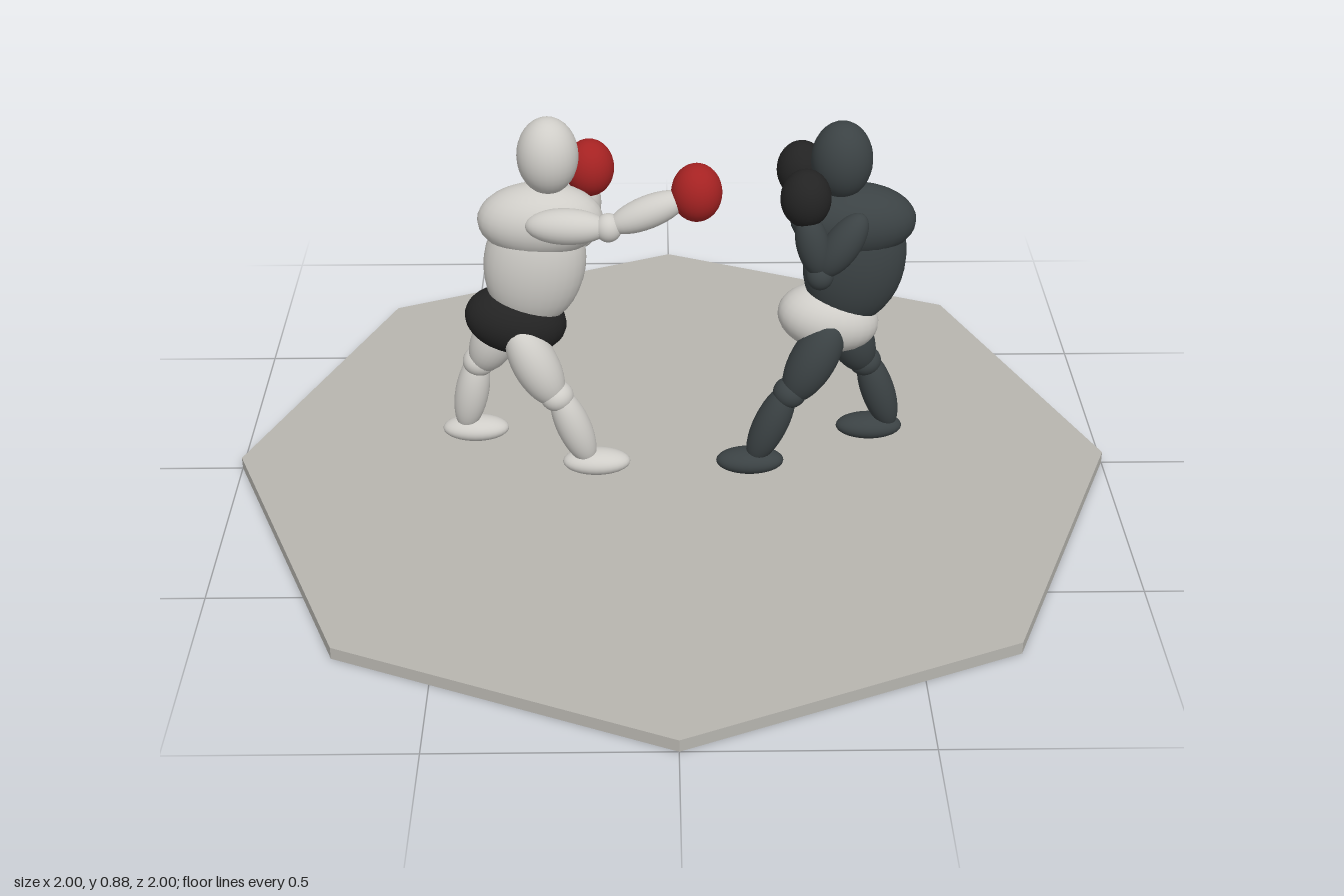
import * as THREE from 'three';

const paint = (name, color) => {
  const m = new THREE.MeshStandardMaterial({ color });
  m.name = name;
  return m;
};
const mats = {
  floor: paint('floor grey', 0xb7b5af),
  pale: paint('pale', 0xcfcdc8),
  dark: paint('dark slate', 0x3b4244),
  black: paint('black', 0x232323),
  red: paint('red', 0xa52222),
};
const ball = new THREE.SphereGeometry(1, 28, 18);

// Ellipsoid with radii r at centre c, leaning by tilt in the x-y plane
function blob(group, name, mat, c, r, tilt = 0) {
  const m = new THREE.Mesh(ball, mat);
  m.name = name;
  m.position.set(...c);
  m.scale.set(...r);
  m.rotation.z = tilt;
  group.add(m);
}

// Ellipsoid stretched from tip a to tip b
function limb(group, name, mat, a, b, r) {
  const from = new THREE.Vector3(...a), to = new THREE.Vector3(...b);
  const dir = to.clone().sub(from);
  const m = new THREE.Mesh(ball, mat);
  m.name = name;
  m.position.copy(from).add(to).multiplyScalar(0.5);
  m.scale.set(r, dir.length() / 2, r);
  m.quaternion.setFromUnitVectors(new THREE.Vector3(0, 1, 0), dir.normalize());
  group.add(m);
}

function boxer(name, skin, shorts, gloves, p) {
  const g = new THREE.Group();
  g.name = name;
  blob(g, 'head', skin, p.head, [0.067, 0.087, 0.067]);
  blob(g, 'chest', skin, p.chest, [0.138, 0.083, 0.083]);
  blob(g, 'torso', skin, p.torso, [0.113, 0.158, 0.076], -0.14);
  blob(g, 'shorts', shorts, p.hips, [0.115, 0.077, 0.08], -0.2);
  p.legs.forEach(({ side, hip, knee, ankle, foot }) => {
    limb(g, 'thigh', skin, [hip[0], hip[1], side * 0.05], [knee[0], knee[1] - 0.02, side * 0.07], 0.052);
    blob(g, 'knee', skin, [knee[0], knee[1], side * 0.07], [0.038, 0.035, 0.038]);
    limb(g, 'shin', skin, [knee[0], knee[1] + 0.02, side * 0.073], [ankle[0], ankle[1], side * 0.073], 0.039);
    blob(g, 'foot', skin, [foot, 0.062, side * 0.073], [0.077, 0.029, 0.04]);
  });
  p.arms.forEach(({ shoulder, elbow, wrist, glove }) => {
    limb(g, 'upperArm', skin, shoulder, elbow, 0.04);
    blob(g, 'elbow', skin, elbow, [0.03, 0.032, 0.03]);
    limb(g, 'forearm', skin, elbow, wrist, 0.036);
    blob(g, 'glove', gloves, glove, [0.055, 0.065, 0.055]);
  });
  return g;
}

export function createModel() {
  const model = new THREE.Group();

  // Eight-sided ring floor with corners on the axes
  const floorShape = new THREE.CylinderGeometry(1, 1, 0.028, 8).toNonIndexed();
  floorShape.computeVertexNormals();
  const floor = new THREE.Mesh(floorShape, mats.floor);
  floor.name = 'ringFloor';
  floor.position.y = 0.014;
  model.add(floor);

  // Pale boxer throwing a straight punch
  model.add(boxer('paleBoxer', mats.pale, mats.black, mats.red, {
    head: [-0.27, 0.798, 0], chest: [-0.29, 0.645, 0], torso: [-0.305, 0.54, 0], hips: [-0.352, 0.395, 0],
    legs: [
      { side: 1, hip: [-0.355, 0.41], knee: [-0.262, 0.235], ankle: [-0.19, 0.06], foot: -0.175 },
      { side: -1, hip: [-0.365, 0.4], knee: [-0.445, 0.245], ankle: [-0.485, 0.06], foot: -0.46 },
    ],
    arms: [
      { shoulder: [-0.32, 0.665, 0.07], elbow: [-0.14, 0.666, 0.085], wrist: [0.03, 0.735, 0.075], glove: [0.05, 0.742, 0.07] },
      { shoulder: [-0.29, 0.68, -0.075], elbow: [-0.205, 0.56, -0.095], wrist: [-0.185, 0.7, -0.085], glove: [-0.183, 0.732, -0.078] },
    ],
  }));

  // Dark boxer holding a closed guard
  const guard = (s) => ({
    shoulder: [0.41, 0.69, s * 0.078], elbow: [0.318, 0.55, s * 0.093],
    wrist: [0.283, 0.7, s * 0.085], glove: [0.284, 0.728, s * 0.073],
  });
  model.add(boxer('darkBoxer', mats.dark, mats.pale, mats.black, {
    head: [0.365, 0.785, 0], chest: [0.395, 0.64, 0], torso: [0.402, 0.54, 0], hips: [0.348, 0.395, 0],
    legs: [
      { side: 1, hip: [0.365, 0.42], knee: [0.262, 0.24], ankle: [0.18, 0.06], foot: 0.175 },
      { side: -1, hip: [0.37, 0.4], knee: [0.443, 0.24], ankle: [0.51, 0.06], foot: 0.46 },
    ],
    arms: [guard(1), guard(-1)],
  }));
  return model;
}
